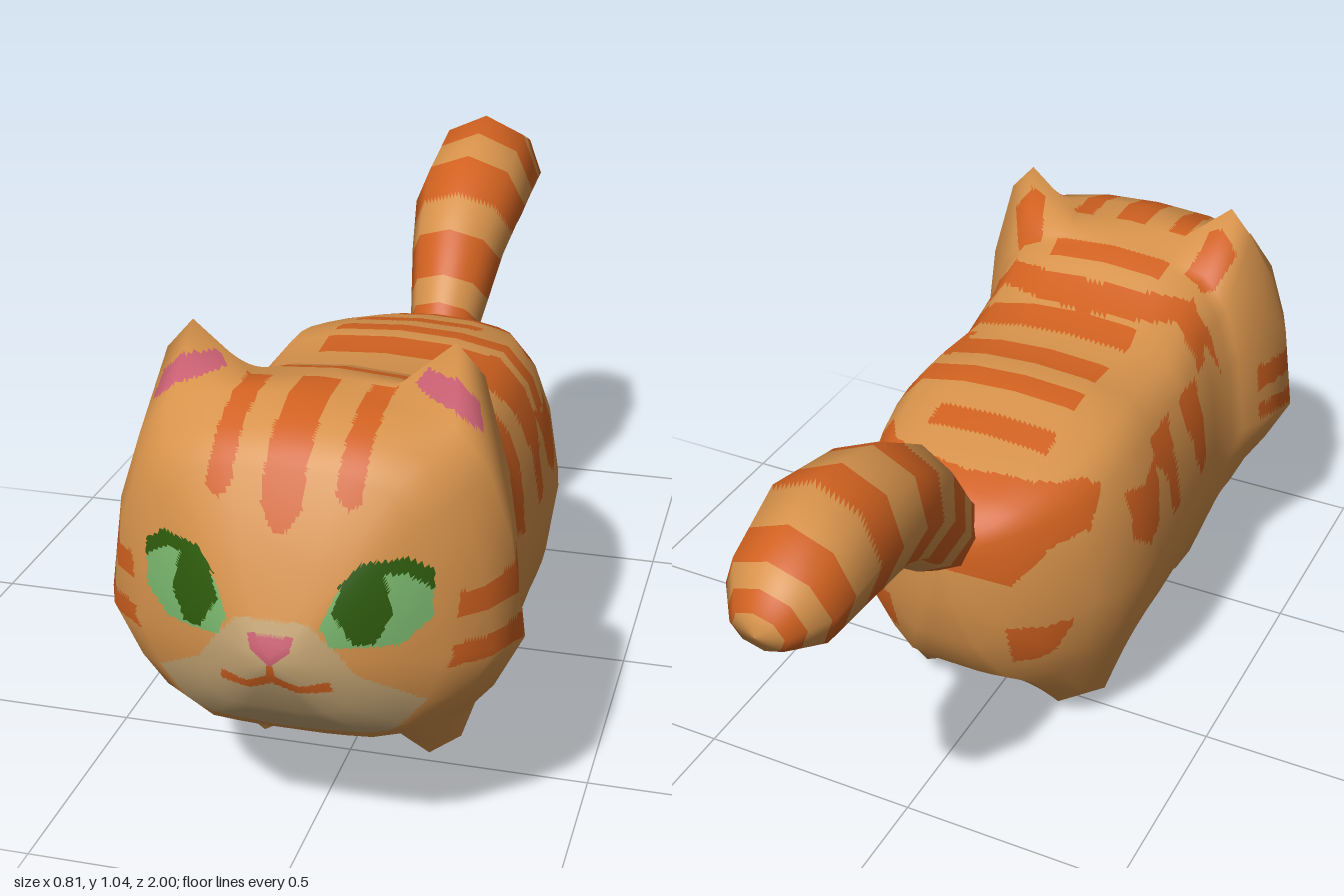
import * as THREE from 'three';

const mat = (name, color) => new THREE.MeshStandardMaterial({ name, color });
const MATERIALS = [
  mat('ginger fur', 0xd6924b), mat('dark stripe', 0xd06120), mat('cream fur', 0xc6a675),
  mat('eye green', 0x78b46c), mat('pupil green', 0x2d5a0c), mat('pink skin', 0xc96072),
];
const [FUR, STRIPE, CREAM, EYE, PUPIL, PINK] = [0, 1, 2, 3, 4, 5];

// Point-in-polygon test for a flat list of corner pairs
function inside(p, a, b) {
  let hit = false;
  for (let i = 0, j = p.length - 2; i < p.length; j = i, i += 2) {
    if ((p[i + 1] > b) !== (p[j + 1] > b) &&
      a < ((p[j] - p[i]) * (b - p[i + 1])) / (p[j + 1] - p[i + 1]) + p[i]) hit = !hit;
  }
  return hit;
}

// Markings on the face, corners as (|x|, y)
const FACE = [
  [PUPIL, [.27, .615, .268, .65, .225, .678, .15, .672, .11, .63, .16, .65, .22, .65]],
  [PUPIL, [.105, .59, .125, .645, .185, .662, .206, .58, .178, .525, .142, .525]],
  [EYE, [.268, .56, .268, .65, .22, .675, .15, .665, .11, .62, .085, .56, .105, .522, .22, .517]],
  [PINK, [-.01, .545, .042, .542, .036, .515, 0, .485, -.01, .485]],
  [STRIPE, [-.01, .487, .006, .487, .008, .465, .05, .442, .1, .452, .105, .43, .045, .425, -.01, .452]],
  [CREAM, [-.01, .57, .065, .567, .11, .52, .145, .465, .257, .385, .19, .31, -.01, .295]],
];
// Forehead stripes and inner ears, corners as (|x|, y)
const CROWN = [
  [STRIPE, [-.01, 1, .04, 1, .038, .755, .015, .715, -.01, .712]],
  [STRIPE, [.1, 1, .145, 1, .143, .77, .12, .755, .095, .78]],
  [PINK, [.18, .91, .2, .935, .26, .93, .3, .89, .315, .84, .26, .885]],
];
// Stripes on the flanks, corners as (z, y)
const FLANK = [
  [.61, .547, .86, .55, .85, .598, .61, .61],
  [.61, .468, .87, .452, .87, .5, .61, .508],
  [.5, .82, .42, .8, .41, .68, .45, .69],
  [.39, .74, .31, .77, .29, .62, .33, .47, .38, .48],
  [.25, .75, .12, .76, .11, .62, .14, .58, .16, .47, .2, .47, .2, .6],
  [.11, .64, .04, .61, -.03, .63, -.035, .52, .03, .47, .08, .5],
  [-.07, .69, -.25, .72, -.36, .73, -.36, .56, -.3, .52, -.24, .59, -.14, .61],
  [-.2, .4, -.3, .4, -.28, .28, -.23, .3],
];
// Mirrored marks on the shoulders, rump and behind the ears, corners as (|x|, z)
const BACK = [
  [-.01, .37, .12, .385, .22, .42, .3, .5, .2, .475, .12, .45, -.01, .44],
  [-.01, -.28, .15, -.25, .27, -.14, .15, -.18, -.01, -.21],
  [.18, .54, .23, .525, .28, .61, .21, .62],
];
// Bars across the back: z, depth, reach towards the left flank
const BARS = [[.495, .055, .14], [.3, .065, .32], [.135, .075, .32], [.025, .055, .3], [-.11, .06, .14]];

const onFlank = (x, y, z) => {
  const ax = Math.abs(x), centre = z > -.1 && z < .4;
  if (y > (centre && x < 0 ? .68 : .82)) return false;
  if (z < -.2 ? y < .5 && ax < .14 : ax < (z < .5 ? .15 : .27)) return false;
  return FLANK.some((p) => inside(p, z, y));
};
const onBack = (x, y, z) => y > .6 && z < .63 && (BACK.some((p) => inside(p, Math.abs(x), z)) ||
  BARS.some(([z0, depth, reach]) => z > z0 && z < z0 + depth && x > -.14 && x < reach));

function coatColour({ x, y, z }) {
  const ax = Math.abs(x);
  if (z > .78) for (const [c, p] of FACE) if (inside(p, ax, y)) return c;
  if (z > .645) for (const [c, p] of CROWN) if (inside(p, ax, y)) return c;
  if (onFlank(x, y, z) || onBack(x, y, z)) return STRIPE;
  if (y < .265 - 3 * (z - .245) ** 2 && Math.abs(z - .245) < .165) return CREAM; // belly
  if (ax < .09 && y < .2 && z > -.04 && z < .67) return CREAM; // chest
  return FUR;
}

// Smooth vertex normals of a loft whose rings are closed loops
function cageNormals(rings) {
  const n = rings[0].length, index = [];
  for (let i = 0; i < rings.length - 1; i++) for (let j = 0; j < n; j++) {
    const a = i * n + j, b = i * n + (j + 1) % n;
    index.push(a, b, a + n, b, b + n, a + n);
  }
  const geo = new THREE.BufferGeometry().setFromPoints(rings.flat());
  geo.setIndex(index);
  geo.computeVertexNormals();
  return rings.map((r, i) => r.map((_, j) => new THREE.Vector3().fromBufferAttribute(geo.attributes.normal, i * n + j)));
}

// Skins rows from..to of the rings, finely divided so that each face takes one colour
function skin(name, rings, from, to, sub, colourAt) {
  const normals = cageNormals(rings), n = rings[0].length;
  const buckets = MATERIALS.map(() => ({ pos: [], nor: [] }));
  const blend = (g, i, j, u, v) => {
    const k = (j + 1) % n;
    const top = g[i][j].clone().lerp(g[i][k], u);
    return top.lerp(g[i + 1][j].clone().lerp(g[i + 1][k], u), v);
  };
  for (let i = from; i < to; i++) for (let j = 0; j < n; j++) {
    const grid = [];
    for (let b = 0; b <= sub; b++) for (let a = 0; a <= sub; a++) {
      const u = a / sub, v = b / sub;
      grid.push({ p: blend(rings, i, j, u, v), n: blend(normals, i, j, u, v).normalize(), u: j + u, v: i + v });
    }
    for (let b = 0; b < sub; b++) for (let a = 0; a < sub; a++) {
      const q = b * (sub + 1) + a, r = q + sub + 1;
      for (const tri of [[q, q + 1, r], [q + 1, r + 1, r]]) {
        const c = tri.map((t) => grid[t]);
        const mid = c[0].p.clone().add(c[1].p).add(c[2].p).divideScalar(3);
        const bucket = buckets[colourAt(mid, (c[0].u + c[1].u + c[2].u) / 3, (c[0].v + c[1].v + c[2].v) / 3)];
        for (const s of c) {
          bucket.pos.push(s.p.x, s.p.y, s.p.z);
          bucket.nor.push(s.n.x, s.n.y, s.n.z);
        }
      }
    }
  }
  const geo = new THREE.BufferGeometry();
  let start = 0;
  buckets.forEach(({ pos }, m) => {
    if (pos.length) geo.addGroup(start, pos.length / 3, m);
    start += pos.length / 3;
  });
  geo.setAttribute('position', new THREE.Float32BufferAttribute(buckets.flatMap((b) => b.pos), 3));
  geo.setAttribute('normal', new THREE.Float32BufferAttribute(buckets.flatMap((b) => b.nor), 3));
  const mesh = new THREE.Mesh(geo, MATERIALS);
  mesh.name = name;
  return mesh;
}

// Sections from nose to rump: z, top, bottom, half width, height of widest point, leg depth
const EAR_ROW = 6, NECK_ROW = 7;
const SECTIONS = [
  [1, .5, .49, 0, .495, 0], [.995, .53, .46, .05, .495, 0], [.95, .66, .37, .17, .49, 0],
  [.88, .815, .285, .29, .48, 0], [.82, .868, .262, .365, .47, 0], [.73, .897, .23, .405, .455, 0],
  [.64, .897, .19, .382, .46, 0], [.56, .88, .15, .345, .46, 0],
  [.53, .87, .13, .333, .45, .1], [.46, .848, .12, .32, .43, .1], [.33, .768, .11, .335, .42, 0],
  [.13, .785, .1, .34, .42, 0], [.06, .78, .1, .34, .42, .07], [0, .768, .1, .337, .42, .11],
  [-.09, .745, .12, .32, .42, .08], [-.17, .725, .15, .285, .43, 0], [-.25, .7, .215, .22, .47, 0],
  [-.31, .66, .33, .14, .52, 0], [-.333, .6, .45, .05, .54, 0], [-.336, .54, .54, 0, .54, 0],
];
function section([z, top, bottom, w, mid, leg], row) {
  const h = top - mid, d = mid - bottom, flank = row < NECK_ROW ? .86 : .93;
  const half = [
    [0, top], [.36 * w, top - .02 * h], [.66 * w, mid + .92 * h], [.82 * w, mid + .74 * h],
    [.93 * w, mid + .44 * h], [w, mid], [flank * w, mid - .5 * d],
    [.73 * w, mid - .78 * d - 1.1 * leg], [.53 * w, bottom + .03 * d - leg],
    [.36 * w, bottom + .01 * d - .6 * leg], [.21 * w, bottom], [0, bottom],
  ];
  if (row === EAR_ROW) { // pull the upper corner up into a pointed ear
    half[2] = [.25, .985];
    half[3] = [.303, .925];
    half[4] = [.352, .74];
  }
  const mirrored = half.slice(1, -1).reverse().map(([x, y]) => [-x, y]);
  return [...half, ...mirrored].map(([x, y]) => new THREE.Vector3(x, y, z));
}

// Tail rings from base to tip: z, y, radius in profile, half width
const TAIL = [
  [-.26, .58, .08, .07], [-.35, .66, .1, .085], [-.465, .785, .122, .11], [-.59, .86, .128, .132],
  [-.77, .89, .145, .132], [-.91, .86, .115, .115], [-.985, .845, .055, .06], [-1, .84, 0, 0],
];
function tailRing([z, y, r, w], i) {
  const a = TAIL[Math.max(i - 1, 0)], b = TAIL[Math.min(i + 1, TAIL.length - 1)];
  const dir = new THREE.Vector2(b[0] - a[0], b[1] - a[1]).normalize();
  return Array.from({ length: 8 }, (_, k) => {
    const t = (k / 8) * Math.PI * 2, up = r * Math.cos(t);
    return new THREE.Vector3(w * Math.sin(t), y - dir.x * up, z + dir.y * up);
  });
}
const TAIL_BANDS = [[0, .9], [1.3, 1.9], [2.45, 3.1], [3.6, 4.05], [4.6, 5.1], [5.6, 6.1]];
function tailColour(p, u, v) {
  const underside = u > 3.2 && u < 4.8 && v > .9;
  return !underside && TAIL_BANDS.some(([a, b]) => v > a && v < b) ? STRIPE : FUR;
}

export function createModel() {
  const cat = new THREE.Group();
  cat.name = 'cat';
  const rings = SECTIONS.map(section);
  cat.add(
    skin('head', rings, 0, NECK_ROW, 15, coatColour),
    skin('bodyAndLegs', rings, NECK_ROW, rings.length - 1, 10, coatColour),
    skin('tail', TAIL.map(tailRing), 0, TAIL.length - 1, 10, tailColour),
  );
  return cat;
}
